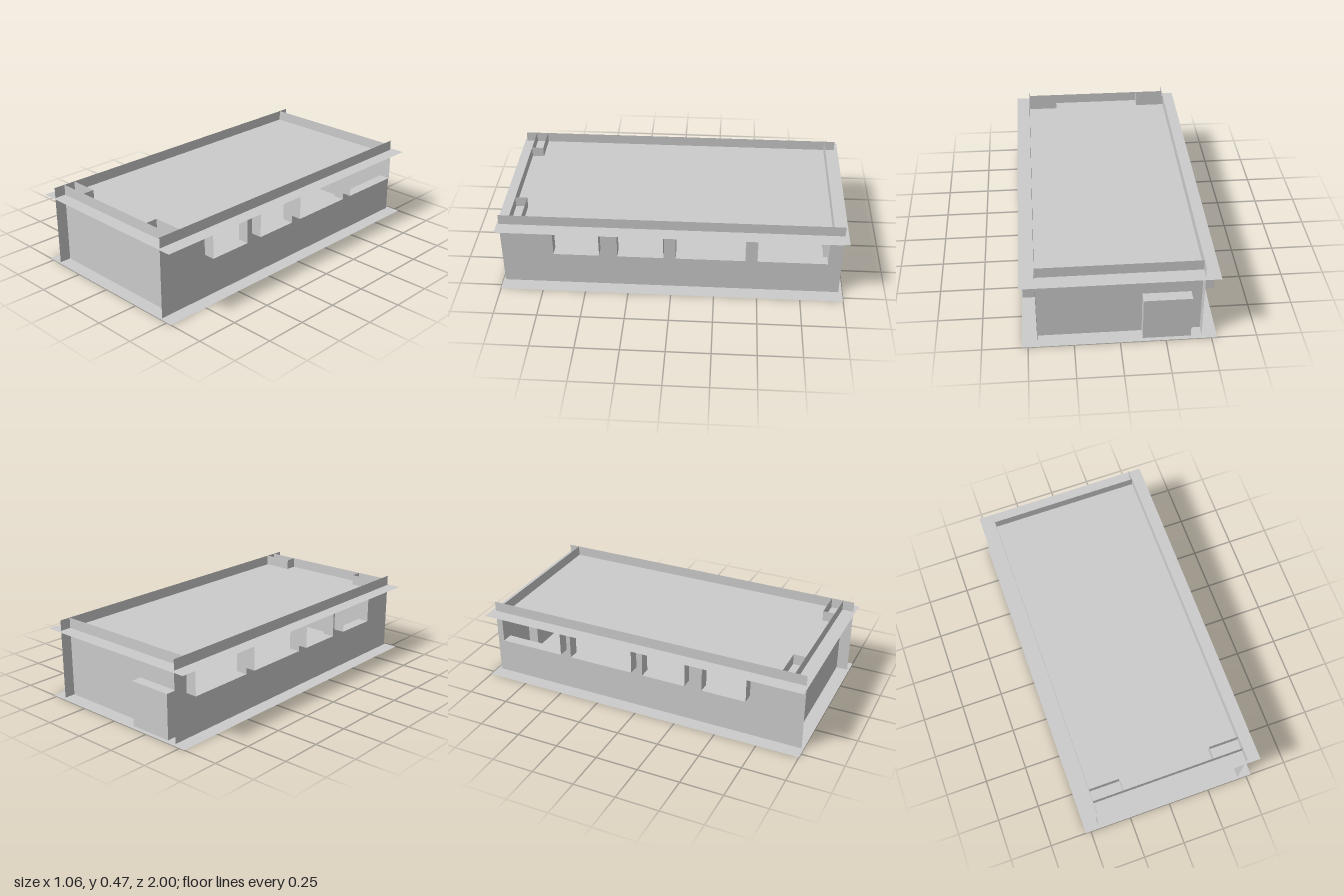
import * as THREE from 'three';

const material = new THREE.MeshStandardMaterial({ color: 0xcccccc, side: THREE.DoubleSide, flatShading: true });

// Rectangle outline, used both for panels and for openings
function rect(target, a0, a1, b0, b1) {
  target.moveTo(a0, b0);
  target.lineTo(a1, b0);
  target.lineTo(a1, b1);
  target.lineTo(a0, b1);
  target.closePath();
  return target;
}

// Thin upright panel facing z, with rectangular openings
function panelGeometry(a0, a1, b0, b1, holes = []) {
  const shape = rect(new THREE.Shape(), a0, a1, b0, b1);
  for (const h of holes) shape.holes.push(rect(new THREE.Path(), ...h));
  return new THREE.ShapeGeometry(shape);
}

export function createModel() {
  const group = new THREE.Group();
  const add = (name, geometry, parent = group) => {
    const mesh = new THREE.Mesh(geometry, material);
    mesh.name = name;
    parent.add(mesh);
  };
  // Panel helpers: constant z, constant x, constant y
  const panelZ = (name, z, x0, x1, y0, y1, holes, parent) =>
    add(name, panelGeometry(x0, x1, y0, y1, holes).translate(0, 0, z), parent);
  const panelX = (name, x, z0, z1, y0, y1, holes = [], parent) =>
    add(name, panelGeometry(-z1, -z0, y0, y1, holes.map(([a, b, c, d]) => [-b, -a, c, d]))
      .rotateY(Math.PI / 2).translate(x, 0, 0), parent);
  const panelY = (name, y, x0, x1, z0, z1, parent) =>
    add(name, panelGeometry(x0, x1, -z1, -z0).rotateX(-Math.PI / 2).translate(0, y, 0), parent);

  const wallX = 0.449, top = 0.474, ceilingY = 0.412;
  const frontZ = 0.92, backZ = -0.912;

  // Floor and ceiling slabs overhang the walls
  panelY('floor', 0, -0.532, 0.532, -1, 1);
  panelY('ceiling', ceilingY, -0.532, 0.532, -1, 1);

  // Window openings along z
  const sill = 0.26, head = 0.405, outer = 0.515;
  const windows = [[0.41, 0.672], [0.042, 0.305], [-0.425, -0.028], [-0.89, -0.493]];
  for (const side of [-1, 1]) {
    panelX('sideWall', side * wallX, -0.978, 0.988, 0, top,
      windows.map(([z0, z1]) => [z0, z1, sill, head]));
    const x0 = Math.min(side * wallX, side * outer);
    const x1 = Math.max(side * wallX, side * outer);

    // Open window surrounds standing out from the wall
    for (const [z0, z1] of windows) {
      const surround = new THREE.Group();
      surround.name = 'windowSurround';
      panelY('windowSill', sill, x0, x1, z0, z1, surround);
      panelY('windowHead', head, x0, x1, z0, z1, surround);
      for (const z of [z0, z1]) panelZ('windowJamb', z, x0, x1, sill, head, [], surround);
      group.add(surround);
    }

    // Corner pillar inside the front wall
    const p0 = Math.min(side * wallX, side * 0.27);
    const p1 = Math.max(side * wallX, side * 0.27);
    panelZ('pillarFace', 0.85, p0, p1, 0, top);
    panelX('pillarSide', side * 0.27, 0.85, frontZ, 0, top);
  }

  // End walls, the back one opening into a door recess
  const d0 = -0.39, d1 = -0.125, doorTop = 0.265, doorZ = -0.975;
  panelZ('frontWall', frontZ, -wallX, wallX, 0, top);
  const backShape = new THREE.Shape();
  [[-wallX, 0], [d0, 0], [d0, doorTop], [d1, doorTop], [d1, 0], [wallX, 0], [wallX, top], [-wallX, top]]
    .forEach(([x, y], i) => (i ? backShape.lineTo(x, y) : backShape.moveTo(x, y)));
  add('backWall', new THREE.ShapeGeometry(backShape).translate(0, 0, backZ));

  // Door recess
  panelZ('door', doorZ, d0, d1, 0, doorTop);
  panelY('doorHead', doorTop, d0, d1, doorZ, backZ);
  for (const x of [d0, d1]) panelX('doorJamb', x, doorZ, backZ, 0, doorTop);

  return group;
}
